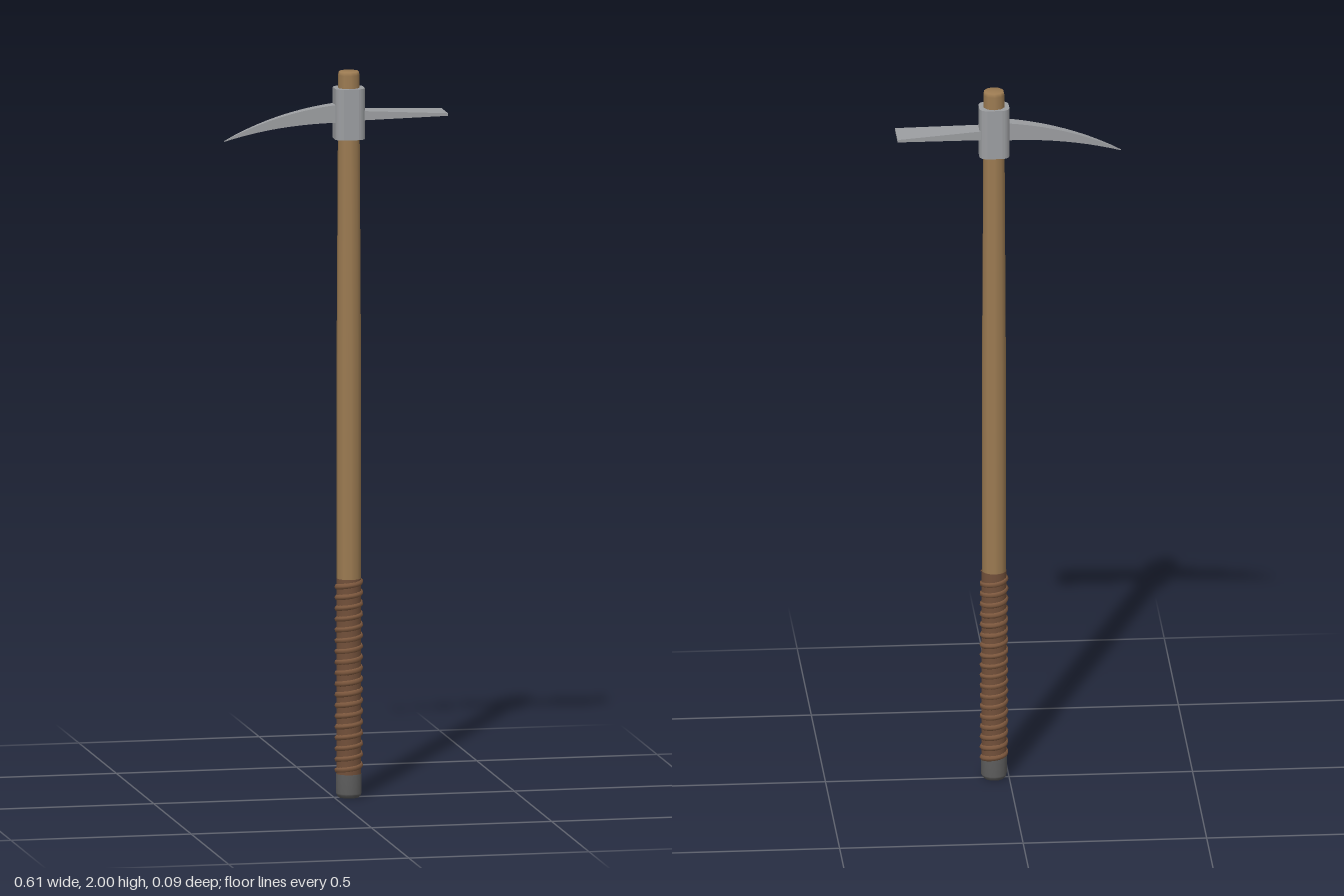
import * as THREE from 'three';

const AXIS_X = 0.041; // the handle stands slightly off centre

function mesh(name, geometry, color, flat = false) {
  const material = new THREE.MeshStandardMaterial({ color, flatShading: flat });
  const m = new THREE.Mesh(geometry, material);
  m.name = name;
  return m;
}

// Turned part around the handle axis, from [radius, height] points
function turned(name, points, color, sides) {
  const profile = points.map(([r, y]) => new THREE.Vector2(r, y));
  const m = mesh(name, new THREE.LatheGeometry(profile, sides), color);
  m.position.x = AXIS_X;
  return m;
}

// Closed bar of rectangular sections [x, yBottom, yTop, halfWidth], x increasing
function bar(sections) {
  const pos = [], index = [];
  for (const [x, y0, y1, w] of sections) {
    pos.push(x, y0, w, x, y0, -w, x, y1, -w, x, y1, w);
  }
  const last = (sections.length - 1) * 4;
  for (let s = 0; s < last; s += 4) {
    for (let i = 0; i < 4; i++) {
      const j = (i + 1) % 4;
      index.push(s + i, s + 4 + j, s + 4 + i, s + i, s + j, s + 4 + j);
    }
  }
  index.push(0, 2, 1, 0, 3, 2, last, last + 1, last + 2, last, last + 2, last + 3);
  const g = new THREE.BufferGeometry();
  g.setAttribute('position', new THREE.Float32BufferAttribute(pos, 3));
  g.setIndex(index);
  g.computeVertexNormals();
  return g;
}

// Spiral of cord around the handle
class Spiral extends THREE.Curve {
  constructor(radius, bottom, top, turns) {
    super();
    Object.assign(this, { radius, bottom, top, turns });
  }
  getPoint(t, target = new THREE.Vector3()) {
    const a = -t * this.turns * Math.PI * 2;
    return target.set(
      Math.cos(a) * this.radius,
      this.bottom + (this.top - this.bottom) * t,
      Math.sin(a) * this.radius
    );
  }
}

export function createModel() {
  const group = new THREE.Group();

  // Wooden handle, tapering upward with a softened top
  group.add(turned('handle', [
    [0, 0.02], [0.033, 0.02], [0.033, 0.6], [0.0335, 1.2], [0.03, 1.8],
    [0.0295, 1.99], [0.027, 2.0], [0, 2.0],
  ], 0x9c7b52, 10));

  // Leather grip: sleeve with a wound cord
  group.add(turned('gripSleeve', [
    [0.033, 0.06], [0.0345, 0.06], [0.0345, 0.603], [0.033, 0.603],
  ], 0x72503a, 16));
  const cord = mesh('gripCord',
    new THREE.TubeGeometry(new Spiral(0.031, 0.06, 0.595, 18), 360, 0.0085, 6), 0x7d583e);
  cord.position.x = AXIS_X;
  group.add(cord);

  // Metal butt cap
  group.add(turned('buttCap', [
    [0, 0], [0.028, 0], [0.034, 0.008], [0.035, 0.012], [0.035, 0.064],
    [0.032, 0.07], [0, 0.07],
  ], 0x5c5c5c, 16));

  // Steel head
  const head = new THREE.Group();
  head.name = 'head';
  const steel = 0x9c9ea1;

  // Collar: rounded rectangle with a hole for the handle
  const hx = 0.041, hz = 0.037, c = 0.02;
  const outline = new THREE.Shape();
  outline.moveTo(-hx + c, -hz);
  outline.lineTo(hx - c, -hz);
  outline.quadraticCurveTo(hx - 0.003, -hz + 0.003, hx, -hz + c);
  outline.lineTo(hx, hz - c);
  outline.quadraticCurveTo(hx - 0.003, hz - 0.003, hx - c, hz);
  outline.lineTo(-hx + c, hz);
  outline.quadraticCurveTo(-hx + 0.003, hz - 0.003, -hx, hz - c);
  outline.lineTo(-hx, -hz + c);
  outline.quadraticCurveTo(-hx + 0.003, -hz + 0.003, -hx + c, -hz);
  const hole = new THREE.Path();
  hole.absarc(0, 0, 0.0285, 0, Math.PI * 2, true);
  outline.holes.push(hole);
  const collarGeo = new THREE.ExtrudeGeometry(outline,
    { depth: 0.14, bevelEnabled: false, curveSegments: 4 });
  collarGeo.rotateX(-Math.PI / 2);
  collarGeo.translate(AXIS_X, 1.815, 0);
  head.add(mesh('collar', collarGeo, steel, true));

  // Curved spike narrowing to a point
  const top = new THREE.QuadraticBezierCurve(
    new THREE.Vector2(-0.305, 1.819), new THREE.Vector2(-0.16, 1.895), new THREE.Vector2(0.012, 1.912));
  const bottom = new THREE.QuadraticBezierCurve(
    new THREE.Vector2(-0.305, 1.817), new THREE.Vector2(-0.16, 1.862), new THREE.Vector2(0.012, 1.862));
  const spike = [];
  for (let i = 0; i <= 10; i++) {
    const a = top.getPoint(i / 10), b = bottom.getPoint(i / 10);
    spike.push([a.x, b.y, a.y, 0.001 + 0.018 * Math.pow(i / 10, 0.75)]);
  }
  head.add(mesh('spike', bar(spike), steel, true));

  // Flat adze blade widening outward
  head.add(mesh('adze', bar([
    [0.07, 1.867, 1.893, 0.025], [0.307, 1.875, 1.882, 0.045],
  ]), steel, true));

  group.add(head);
  return group;
}
